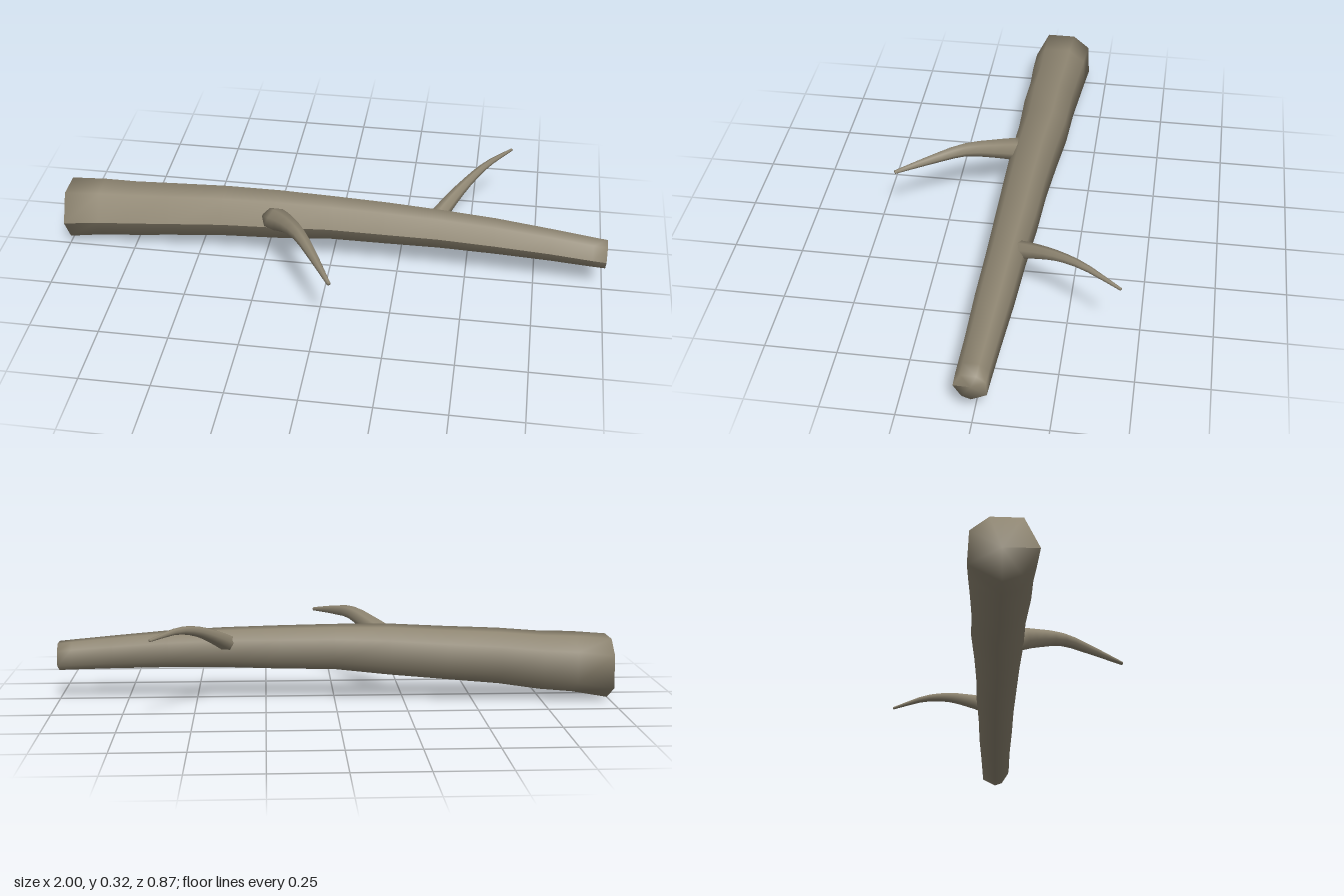
import * as THREE from 'three';

// Skin a list of equal-sized rings; with a seam, one hard edge runs along the first point.
function skin(rings, seam) {
  const n = rings[0].length, stride = seam ? n + 1 : n;
  const pos = [], idx = [];
  const at = (i, j) => i * stride + (seam ? j : j % n);
  rings.forEach(r => {
    for (let j = 0; j < stride; j++) pos.push(...r[j % n].toArray());
  });
  for (let i = 0; i < rings.length - 1; i++) {
    for (let j = 0; j < n; j++) {
      const a = at(i, j), b = at(i, j + 1), c = at(i + 1, j), d = at(i + 1, j + 1);
      idx.push(a, b, c, b, d, c);
    }
  }
  // End caps, blended smoothly into the sides
  [0, rings.length - 1].forEach(i => {
    const mid = new THREE.Vector3();
    rings[i].forEach(p => mid.addScaledVector(p, 1 / n));
    const m = pos.length / 3;
    pos.push(...mid.toArray());
    for (let j = 0; j < n; j++) {
      if (i === 0) idx.push(m, at(i, j + 1), at(i, j));
      else idx.push(m, at(i, j), at(i, j + 1));
    }
  });
  const g = new THREE.BufferGeometry();
  g.setAttribute('position', new THREE.Float32BufferAttribute(pos, 3));
  g.setIndex(idx);
  g.computeVertexNormals();
  return g;
}

// Curved, tapering twig along a smooth path
function twig(points, radii, sides = 7, steps = 10) {
  const curve = new THREE.CatmullRomCurve3(points.map(p => new THREE.Vector3(...p)));
  const rings = [];
  for (let i = 0; i <= steps; i++) {
    const t = i / steps, f = t * (radii.length - 1);
    const k = Math.min(Math.floor(f), radii.length - 2);
    const r = THREE.MathUtils.lerp(radii[k], radii[k + 1], f - k);
    const p = curve.getPoint(t), tan = curve.getTangent(t);
    const s = new THREE.Vector3(0, 1, 0).cross(tan).normalize();
    const u = tan.clone().cross(s);
    rings.push(Array.from({ length: sides }, (_, j) => {
      const a = j / sides * Math.PI * 2;
      return p.clone().addScaledVector(s, Math.cos(a) * r).addScaledVector(u, Math.sin(a) * r);
    }));
  }
  return skin(rings, false);
}

export function createModel() {
  const group = new THREE.Group();
  const bark = new THREE.MeshStandardMaterial({ color: 0x8f8672 });
  bark.name = 'greyBrownBark';
  const add = (name, geometry) => {
    const mesh = new THREE.Mesh(geometry, bark);
    mesh.name = name;
    group.add(mesh);
  };

  // Uneven seven-sided section (z, y), from the front edge downwards
  const section = [[1, 0.07], [0.5, -0.78], [-0.05, -1], [-1, -0.5], [-0.95, 0.55], [-0.4, 1], [0.55, 1]];
  // Stations along the branch: x, bottom, top, back, front
  const stations = [
    [-1, 0.003, 0.228, -0.178, 0.045], [-0.87, 0.025, 0.238, -0.17, 0.044],
    [-0.75, 0.035, 0.241, -0.161, 0.04], [-0.6, 0.056, 0.252, -0.152, 0.044],
    [-0.4, 0.074, 0.261, -0.146, 0.039], [-0.2, 0.09, 0.27, -0.129, 0.045],
    [0, 0.111, 0.27, -0.115, 0.044], [0.2, 0.114, 0.266, -0.106, 0.045],
    [0.4, 0.12, 0.26, -0.091, 0.046], [0.6, 0.12, 0.249, -0.08, 0.051],
    [0.8, 0.116, 0.231, -0.064, 0.053], [0.95, 0.111, 0.216, -0.053, 0.058],
    [1, 0.109, 0.211, -0.05, 0.058],
  ];
  add('mainBranch', skin(stations.map(([x, y0, y1, z0, z1]) => section.map(([z, y]) =>
    new THREE.Vector3(x, (y0 + y1) / 2 + y * (y1 - y0) / 2, (z0 + z1) / 2 + z * (z1 - z0) / 2))), true));

  // Side twigs
  add('frontTwig', twig(
    [[-0.21, 0.205, 0.01], [-0.15, 0.243, 0.09], [-0.08, 0.276, 0.2], [-0.02, 0.27, 0.3], [0.058, 0.252, 0.433]],
    [0.046, 0.036, 0.025, 0.018, 0.007]));
  add('backTwig', twig(
    [[0.375, 0.208, -0.05], [0.42, 0.245, -0.12], [0.48, 0.285, -0.205], [0.545, 0.307, -0.3], [0.635, 0.3, -0.433]],
    [0.034, 0.027, 0.019, 0.013, 0.005]));
  return group;
}
